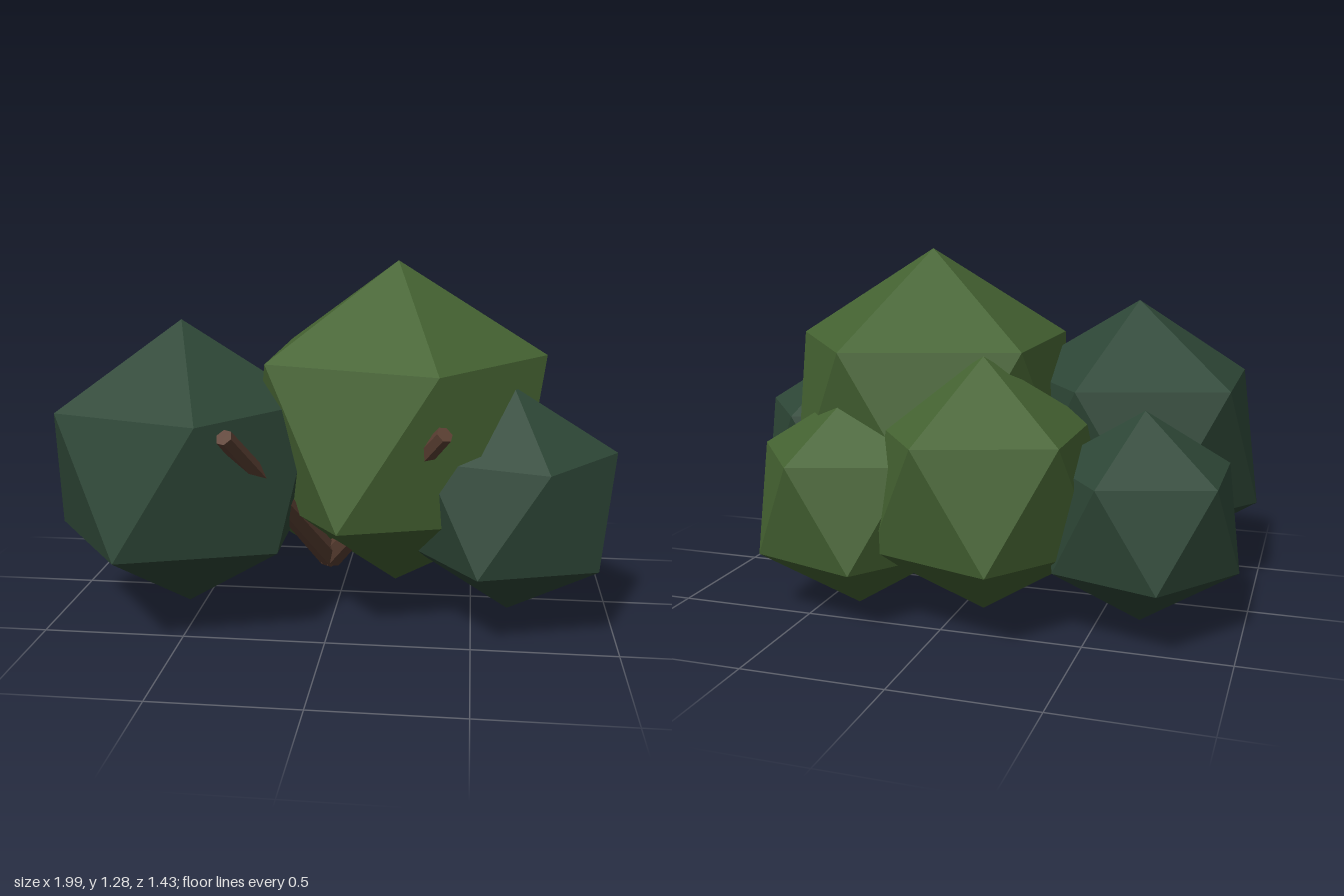
import * as THREE from 'three';

const material = (name, color) => {
  const m = new THREE.MeshStandardMaterial({ color, flatShading: true });
  m.name = name;
  return m;
};

export function createModel() {
  const group = new THREE.Group();
  const lightLeaf = material('light leaf green', 0x456332);
  const darkLeaf = material('dark leaf green', 0x2e4737);
  const bark = material('bark brown', 0x5c4033);

  // Leaf clumps: icosahedra standing on a corner, with an upper corner towards +x
  const tilt = -Math.atan(2 / (1 + Math.sqrt(5)));
  const clump = (name, mat, radius, x, y, z) => {
    const mesh = new THREE.Mesh(new THREE.IcosahedronGeometry(radius, 0).rotateZ(tilt), mat);
    mesh.name = name;
    mesh.position.set(x, y, z);
    group.add(mesh);
  };
  clump('mainClump', lightLeaf, 0.603, 0.213, 0.68, 0.04);
  clump('backClump', lightLeaf, 0.453, -0.104, 0.488, -0.335);
  clump('backLeftClump', lightLeaf, 0.402, 0.377, 0.405, -0.335);
  clump('frontRightClump', darkLeaf, 0.52, -0.53, 0.57, 0.272);
  clump('frontLeftClump', darkLeaf, 0.408, 0.63, 0.457, 0.22);
  clump('backRightClump', darkLeaf, 0.37, -0.655, 0.405, -0.28);

  // Tapered branches fanning out from a common foot
  const up = new THREE.Vector3(0, 1, 0);
  const foot = new THREE.Vector3(-0.03, 0.17, 0.08);
  const branch = (name, x, y, z) => {
    const tip = new THREE.Vector3(x, y, z);
    const dir = tip.clone().sub(foot);
    const mesh = new THREE.Mesh(new THREE.CylinderGeometry(0.03, 0.045, dir.length(), 6), bark);
    mesh.name = name;
    mesh.position.copy(foot).add(tip).multiplyScalar(0.5);
    mesh.quaternion.setFromUnitVectors(up, dir.normalize());
    group.add(mesh);
  };
  branch('frontBranch', -0.3, 0.765, 0.67);
  branch('leftBranch', 0.4, 0.765, 0.55);
  branch('rightBranch', -0.5, 0.62, -0.1);

  return group;
}
